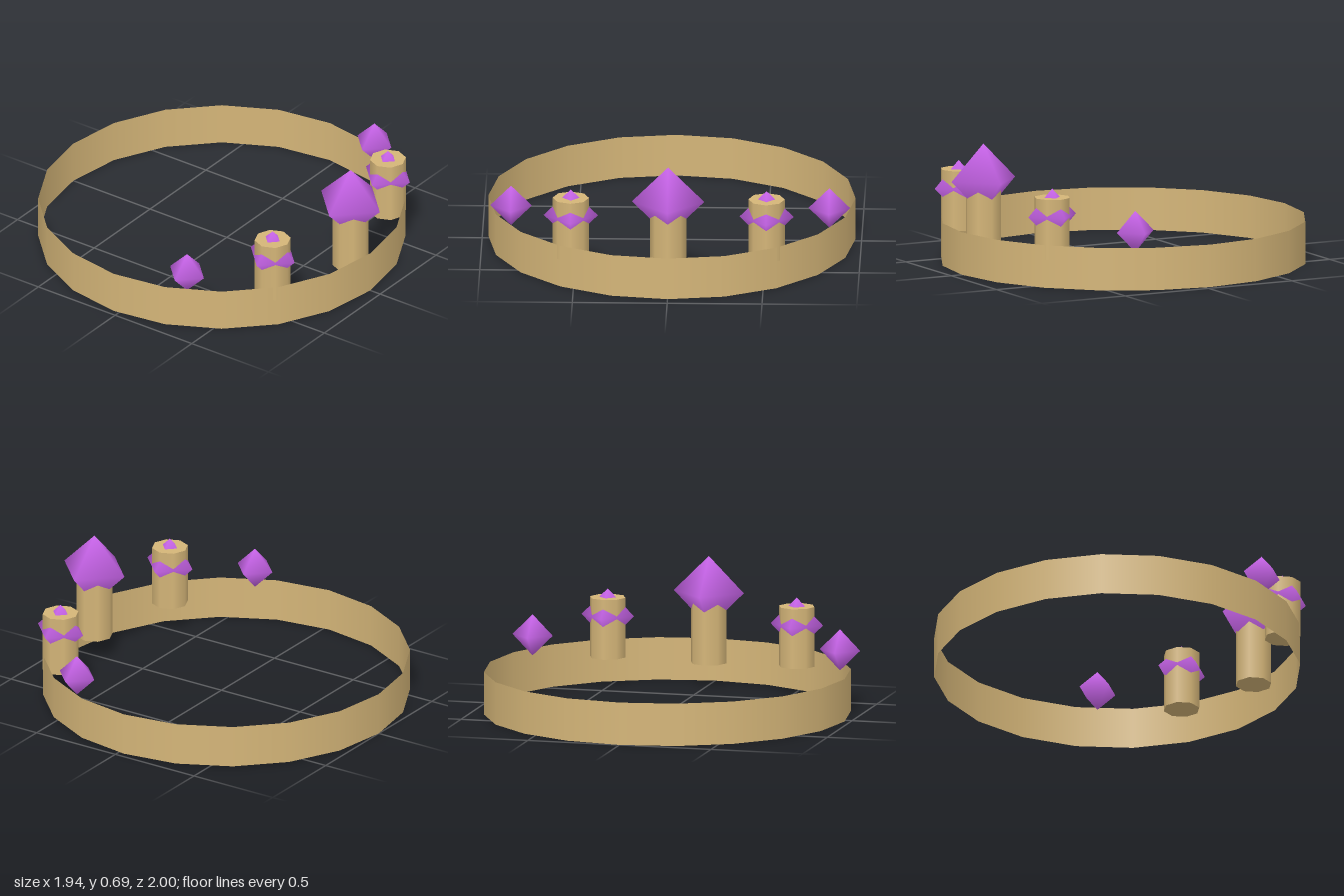
import * as THREE from 'three';

export function createModel() {
  const model = new THREE.Group();
  const gold = new THREE.MeshStandardMaterial({ color: 0xd4b578 });
  const band = gold.clone();
  band.side = THREE.DoubleSide;
  const violet = new THREE.MeshStandardMaterial({ color: 0xcc66ee });

  function add(name, geometry, material, x, y, z) {
    const mesh = new THREE.Mesh(geometry, material);
    mesh.name = name;
    mesh.position.set(x, y, z);
    model.add(mesh);
  }

  // Smooth-shaded eight-faced gem
  const gem = (name, r, x, y, z) =>
    add(name, new THREE.SphereGeometry(r, 4, 2), violet, x, y, z);

  // Eight-sided post between two heights
  const post = (name, x, bottom, top, z) =>
    add(name, new THREE.CylinderGeometry(0.096, 0.096, top - bottom, 8), gold, x, (bottom + top) / 2, z);

  // Open, paper-thin crown band
  add('crownBand', new THREE.CylinderGeometry(0.968, 0.968, 0.227, 20, 1, true), band, 0, 0.1135, -0.032);

  // Tall centre post with the largest gem
  post('centrePost', 0, 0.12, 0.5, 0.807);
  gem('centreGem', 0.191, 0, 0.5, 0.807);

  // Mirrored side posts with embedded gems, then small outer gems
  for (const [side, s] of [['left', 1], ['right', -1]]) {
    post(side + 'Post', s * 0.516, 0.15, 0.47, 0.675);
    gem(side + 'PostGem', 0.143, s * 0.516, 0.373, 0.675);
    gem(side + 'OuterGem', 0.11, s * 0.839, 0.309, 0.352);
  }
  return model;
}
